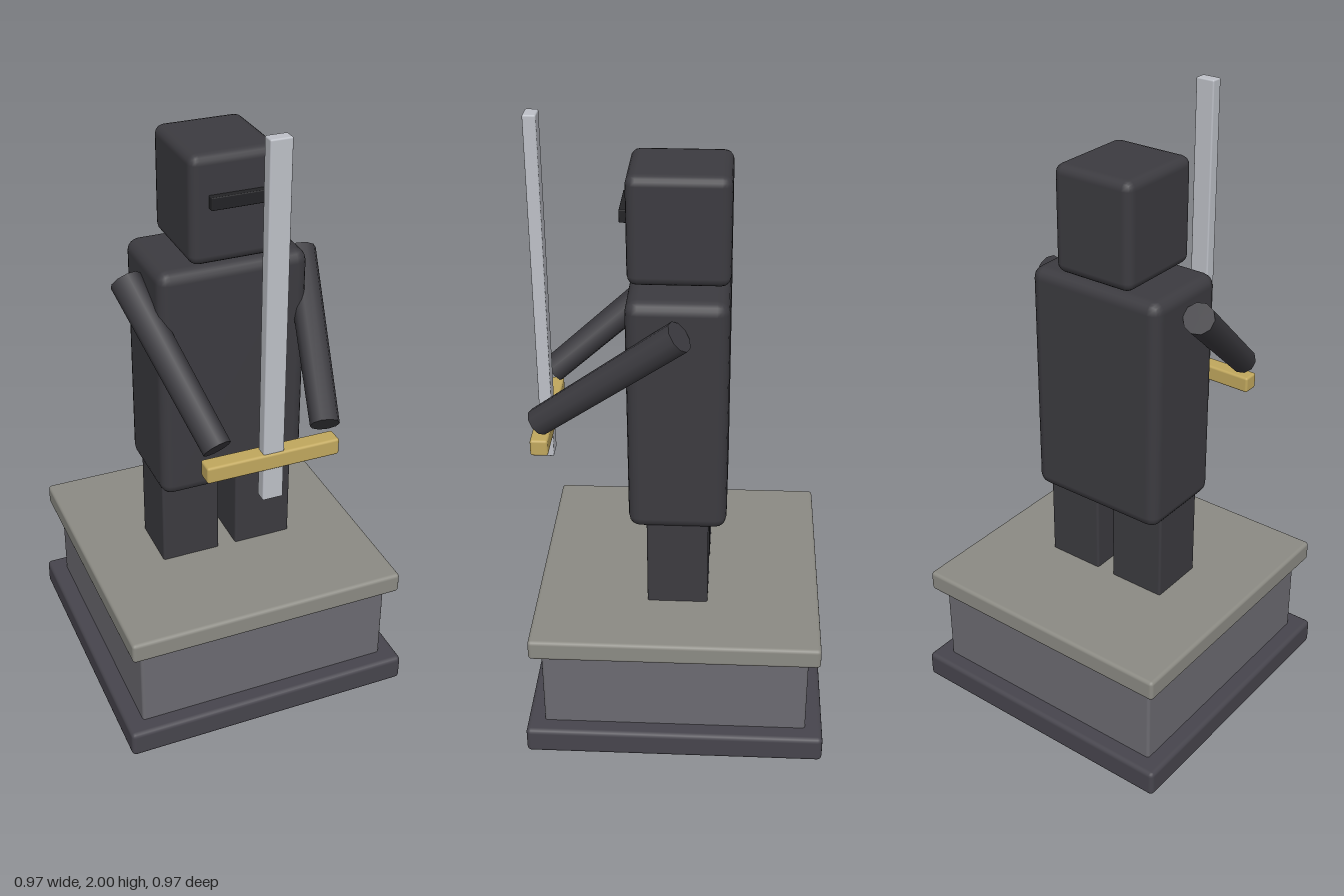
import * as THREE from 'three';
import { RoundedBoxGeometry } from 'three/addons/geometries/RoundedBoxGeometry.js';

const mat = (color) => new THREE.MeshStandardMaterial({ color });

export function createModel() {
  const model = new THREE.Group();
  const armour = mat(0x3c3b40), dark = mat(0x232326), steel = mat(0xbec1c8);
  const gold = mat(0xc1a85e), slab = mat(0x8c8b84), stone = mat(0x6c6b71), plinth = mat(0x47454d);

  // Rounded box spanning y0..y1, centred on x and z
  function block(name, material, width, y0, y1, depth, radius, x = 0, z = 0, parent = model) {
    const geometry = new RoundedBoxGeometry(width, y1 - y0, depth, 2, radius);
    const mesh = new THREE.Mesh(geometry, material);
    mesh.name = name;
    mesh.position.set(x, (y0 + y1) / 2, z);
    parent.add(mesh);
    return mesh;
  }

  // Stepped pedestal
  const pedestal = new THREE.Group();
  pedestal.name = 'pedestal';
  model.add(pedestal);
  block('pedestalBase', plinth, 0.966, 0, 0.09, 0.966, 0.015, 0, 0, pedestal);
  block('pedestalBody', stone, 0.854, 0.07, 0.39, 0.854, 0.01, 0, 0, pedestal);
  block('pedestalTop', slab, 0.926, 0.37, 0.44, 0.926, 0.012, 0, 0, pedestal);

  // Body and head
  block('torso', armour, 0.482, 0.73, 1.512, 0.31, 0.038);
  block('head', armour, 0.282, 1.52, 1.86, 0.31, 0.03);
  block('visor', dark, 0.17, 1.70, 1.74, 0.05, 0.003, 0, 0.152);

  // Legs and arms, mirrored
  const up = new THREE.Vector3(0, 1, 0);
  for (const [side, s] of [['left', 1], ['right', -1]]) {
    block(side + 'Leg', armour, 0.196, 0.43, 0.76, 0.196, 0.008, s * 0.128);

    const shoulder = new THREE.Vector3(s * 0.288, 1.436, -0.01);
    const hand = new THREE.Vector3(s * 0.173, 1.076, 0.433);
    const axis = shoulder.clone().sub(hand);
    const arm = new THREE.Mesh(new THREE.CylinderGeometry(0.05, 0.045, axis.length(), 10), armour);
    arm.name = side + 'Arm';
    arm.position.copy(shoulder).add(hand).multiplyScalar(0.5);
    arm.quaternion.setFromUnitVectors(up, axis.normalize());
    model.add(arm);
  }

  // Upright sword with a cross guard
  const sword = new THREE.Group();
  sword.name = 'sword';
  model.add(sword);
  block('blade', steel, 0.066, 0.865, 2, 0.04, 0.005, 0, 0.432, sword);
  block('crossGuard', gold, 0.426, 0.975, 1.03, 0.056, 0.008, 0, 0.43, sword);

  return model;
}
